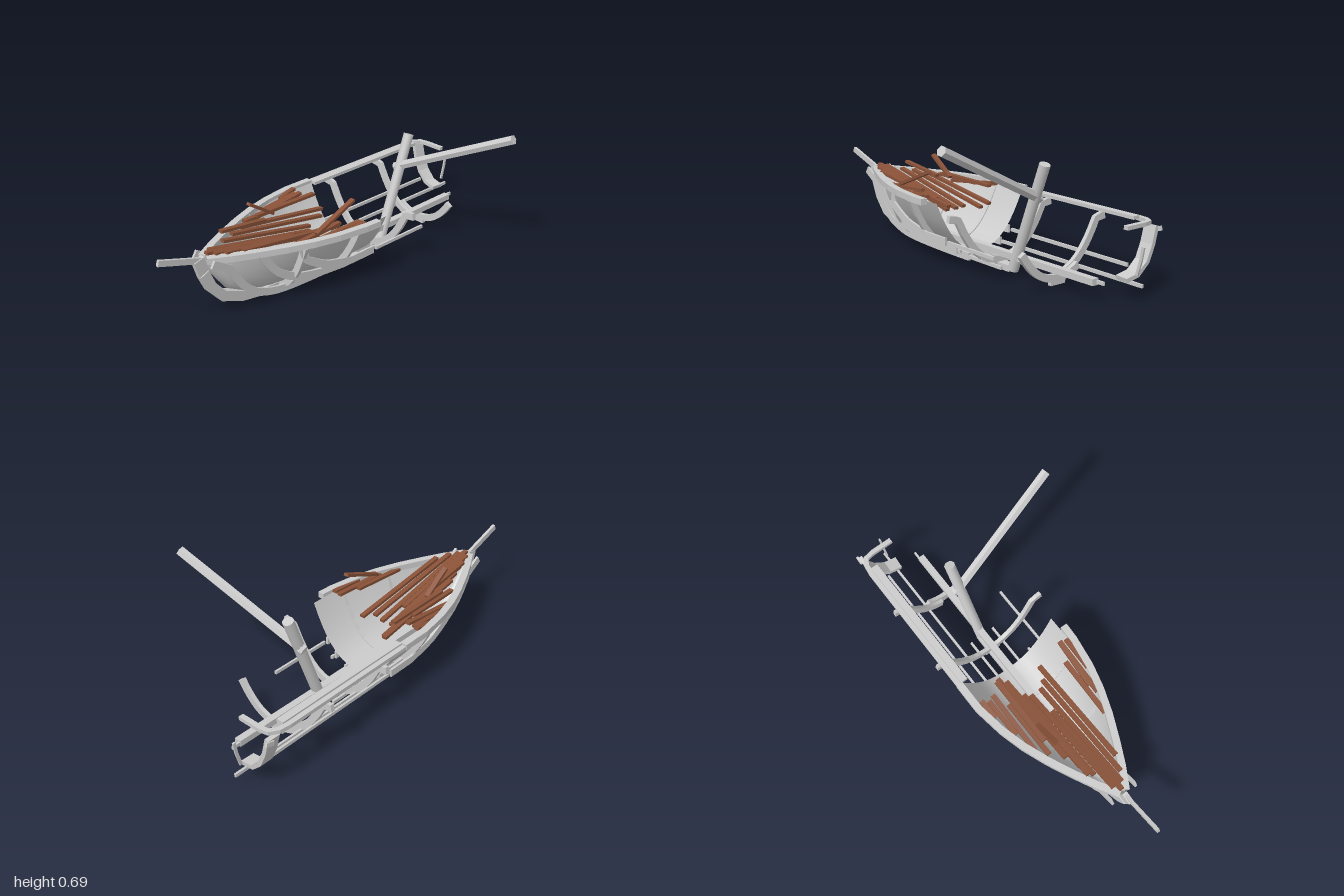
import * as THREE from 'three';

const CX = -0.155; // centreline of the wreck
const grey = new THREE.MeshStandardMaterial({ color: 0xcccccc, flatShading: true, side: THREE.DoubleSide });
const smooth = new THREE.MeshStandardMaterial({ color: 0xcccccc, side: THREE.DoubleSide });
const brown = new THREE.MeshStandardMaterial({ color: 0x8a5238, flatShading: true });
const X = new THREE.Vector3(1, 0, 0), Y = new THREE.Vector3(0, 1, 0), Z = new THREE.Vector3(0, 0, 1);
const V = (x, y, z) => new THREE.Vector3(x, y, z);

// Hull form: half breadth at the rail and bottom height along z
const lerpTable = (t, z) => {
  if (z <= t[0][0]) return t[0][1];
  for (let i = 1; i < t.length; i++) {
    if (z <= t[i][0]) return THREE.MathUtils.mapLinear(z, t[i - 1][0], t[i][0], t[i - 1][1], t[i][1]);
  }
  return t[t.length - 1][1];
};
const breadth = [[-0.1, 0.285], [0.05, 0.285], [0.2, 0.262], [0.32, 0.23], [0.44, 0.185], [0.56, 0.13], [0.66, 0.08], [0.76, 0.022]];
const bottom = [[-0.1, 0.058], [0.4, 0.058], [0.54, 0.07], [0.64, 0.11], [0.71, 0.18], [0.76, 0.27]];
const TOP = 0.315;
const halfW = z => lerpTable(breadth, z) * 0.95 - 0.008; // skin lies just inside the rail
const hullY = (z, u) => {
  const b = lerpTable(bottom, z);
  return b + (TOP - b) * Math.abs(u) ** 2.4;
};

// Rectangular beam swept along points; w is along the fixed side axis, h across it
function beam(name, pts, w, h, side, mat = grey) {
  const pos = [], rings = pts.map((p, i) => {
    const T = pts[Math.min(i + 1, pts.length - 1)].clone().sub(pts[Math.max(i - 1, 0)]).normalize();
    const S = side.clone().addScaledVector(T, -side.dot(T)).normalize();
    const N = T.clone().cross(S);
    return [[1, 1], [-1, 1], [-1, -1], [1, -1]].map(([a, b]) =>
      p.clone().addScaledVector(S, a * w / 2).addScaledVector(N, b * h / 2));
  });
  const quad = (a, b, c, d) => [a, b, c, a, c, d].forEach(v => pos.push(v.x, v.y, v.z));
  for (let i = 0; i < rings.length - 1; i++) {
    const A = rings[i], B = rings[i + 1];
    for (let k = 0; k < 4; k++) quad(A[k], A[(k + 1) % 4], B[(k + 1) % 4], B[k]);
  }
  quad(...rings[0].slice().reverse());
  quad(...rings[rings.length - 1]);
  const g = new THREE.BufferGeometry();
  g.setAttribute('position', new THREE.Float32BufferAttribute(pos, 3));
  g.computeVertexNormals();
  const m = new THREE.Mesh(g, mat);
  m.name = name;
  return m;
}

// Round spar between two points
function spar(name, a, b, r, sides, mat) {
  const m = new THREE.Mesh(new THREE.CylinderGeometry(r, r, a.distanceTo(b), sides), mat);
  m.position.copy(a).add(b).multiplyScalar(0.5);
  m.quaternion.setFromUnitVectors(Y, b.clone().sub(a).normalize());
  m.name = name;
  return m;
}

// Planking of the surviving bow half
function hullSkin() {
  const n = 20, pos = [], idx = [];
  breadth.forEach(([z], i) => {
    for (let k = 0; k <= n; k++) {
      const u = Math.sin((k / n - 0.5) * Math.PI);
      pos.push(CX + u * halfW(z), hullY(z, u), z);
      if (i && k) {
        const a = i * (n + 1) + k, b = a - n - 1;
        idx.push(b - 1, b, a, b - 1, a, a - 1);
      }
    }
  });
  const g = new THREE.BufferGeometry();
  g.setAttribute('position', new THREE.Float32BufferAttribute(pos, 3));
  g.setIndex(idx);
  g.computeVertexNormals();
  const m = new THREE.Mesh(g, smooth);
  m.name = 'hullSkin';
  return m;
}

// Cross frame from u0 to u1, with outward shoulders at the rail and a floor block on the keel
function rib(z, u0, u1, shoulder) {
  const group = new THREE.Group(), pts = [], n = 14, w = halfW(z) + 0.012;
  group.name = 'rib';
  const limit = shoulder ? 0.94 : 1;
  for (let k = 0; k <= n; k++) {
    const u = THREE.MathUtils.lerp(Math.max(u0, -limit), Math.min(u1, limit), k / n);
    pts.push(V(CX + u * w, hullY(z, u) - 0.012, z));
  }
  if (shoulder && u0 <= -1) pts.unshift(V(CX - 0.31, 0.278, z), V(CX - 0.282, 0.274, z));
  if (shoulder && u1 >= 1) pts.push(V(CX + 0.282, 0.274, z), V(CX + 0.31, 0.278, z));
  group.add(beam('frame', pts, 0.02, 0.034, Z));
  if (u1 > 0) group.add(beam('floorBlock', [V(CX - 0.043, 0.032, z), V(CX + 0.043, 0.032, z)], 0.02, 0.034, Z));
  return group;
}

// Lengthwise stringer outside the ribs, rising to the rail at the bow, thin at the broken aft end
function stringer(dx, drop, zEnd) {
  const pts = [];
  for (let z = -0.1; z < 0.76; z += 0.03) {
    const u = Math.abs(dx) / halfW(z);
    if (u > 0.97) break;
    pts.push(V(CX + dx, hullY(z, u) - drop * (1 - u * u * 0.6), z + 0.03 * u * u));
  }
  const last = pts[pts.length - 1];
  pts.push(V(CX + dx, 0.315, last.z + (Math.abs(dx) < 0.1 ? 0.09 : 0.025)));
  const group = new THREE.Group(), y = pts[0].y;
  group.name = 'stringer';
  group.add(beam('stringerBow', pts, 0.012, 0.038, X),
    beam('stringerAft', [V(CX + dx, y, zEnd), V(CX + dx, y, -0.1)], 0.011, 0.016, X));
  return group;
}

export function createModel() {
  const g = new THREE.Group();
  g.name = 'shipwreck';
  g.add(hullSkin());

  // Keel, stem, keelson and bowsprit
  g.add(beam('keel', [V(CX, 0.018, -0.33), V(CX, 0.022, 0.1), V(CX, 0.04, 0.5)], 0.05, 0.03, X));
  g.add(beam('stem', [V(CX, 0.038, 0.46), V(CX, 0.055, 0.57), V(CX, 0.1, 0.68), V(CX, 0.17, 0.74),
    V(CX, 0.25, 0.775)], 0.035, 0.05, X));
  g.add(beam('stemHead', [V(CX, 0.24, 0.77), V(CX, 0.325, 0.795)], 0.025, 0.055, X));
  g.add(beam('keelson', [V(CX, 0.082, -0.85), V(CX, 0.075, -0.1), V(CX, 0.075, 0.45)], 0.034, 0.03, X));
  g.add(beam('keelsonSplinter', [V(CX - 0.01, 0.082, -0.89), V(CX - 0.01, 0.082, -0.85)], 0.01, 0.016, X));
  g.add(beam('bowsprit', [V(CX, 0.315, 0.78), V(CX, 0.385, 0.995)], 0.015, 0.028, X));

  // Rails: one runs on to the stern, the other breaks off amidships
  for (const s of [-1, 1]) {
    const pts = breadth.filter(b => s < 0 || b[0] > 0).map(([z, w]) => V(CX + s * (w - 0.005), 0.315, z));
    if (s > 0) pts.unshift(V(CX + 0.284, 0.315, -0.03));
    g.add(beam(s < 0 ? 'rightRail' : 'leftRail', pts, 0.03, 0.034, Y));
  }
  g.add(beam('aftRail', [V(-0.407, 0.32, -0.1), V(-0.407, 0.32, -0.84)], 0.016, 0.036, Y));
  g.add(beam('sternRail', [V(-0.438, 0.312, -0.1), V(-0.438, 0.312, -0.82), V(-0.432, 0.312, -0.87),
    V(-0.41, 0.312, -0.905), V(-0.37, 0.312, -0.912), V(-0.26, 0.312, -0.912)], 0.018, 0.024, Y));

  // Cross frames, the aft one broken in two
  g.add(rib(0.36, -1, 1, false), rib(0.09, -1, 1, false), rib(-0.245, -1, 1, true),
    rib(-0.595, -1, -0.2, true), rib(-0.62, -0.45, 0.77, false));

  // Stringers
  for (const [dx, drop, z] of [[-0.197, 0.1, -0.85], [-0.135, 0.045, -0.99], [-0.067, 0.04, -0.33],
    [0.067, 0.04, -0.33], [0.135, 0.045, -0.12], [0.197, 0.1, -0.43]])
    g.add(stringer(dx, drop, z));

  // Remains of the stern
  g.add(beam('sternFrame', [V(-0.265, 0.085, -0.895), V(-0.33, 0.1, -0.9), V(-0.38, 0.15, -0.905),
    V(-0.41, 0.22, -0.905), V(-0.43, 0.3, -0.905)], 0.065, 0.02, Z));
  g.add(beam('sternSplinter', [V(-0.29, 0.11, -0.955), V(-0.29, 0.18, -0.975), V(-0.29, 0.24, -0.985)], 0.008, 0.014, X));
  g.add(beam('sternSplinter', [V(-0.44, 0.28, -0.91), V(-0.44, 0.29, -0.95)], 0.012, 0.02, X));

  // Raked mast stump and fallen yard
  g.add(spar('mast', V(CX, 0.012, -0.335), V(CX, 0.535, -0.53), 0.026, 12, smooth));
  g.add(spar('yard', V(-0.185, 0.367, -0.468), V(0.455, 0.668, -0.584), 0.024, 6, grey));

  // Loose deck planks: x, y, z of the aft end, then of the fore end
  const planks = [
    [-0.403, 0.33, 0.03, -0.398, 0.31, 0.13], [-0.375, 0.32, 0.05, -0.37, 0.3, 0.25],
    [-0.345, 0.33, 0.04, -0.345, 0.29, 0.36], [-0.312, 0.32, 0.12, -0.31, 0.32, 0.42],
    [-0.292, 0.33, 0.0, -0.292, 0.335, 0.36], [-0.268, 0.33, 0.28, -0.268, 0.425, 0.42],
    [-0.267, 0.25, -0.03, -0.262, 0.33, 0.48], [-0.24, 0.23, 0.0, -0.235, 0.33, 0.55],
    [-0.24, 0.33, 0.35, -0.235, 0.365, 0.61], [-0.213, 0.22, 0.1, -0.21, 0.33, 0.62],
    [-0.184, 0.21, 0.12, -0.178, 0.335, 0.72], [-0.157, 0.24, 0.25, -0.155, 0.34, 0.75],
    [-0.128, 0.21, 0.12, -0.132, 0.335, 0.72], [-0.1, 0.24, 0.1, -0.105, 0.335, 0.68],
    [-0.072, 0.25, 0.04, -0.075, 0.33, 0.61], [0.04, 0.43, 0.05, 0.04, 0.335, 0.28],
    [0.022, 0.33, 0.12, 0.018, 0.31, 0.42], [0.065, 0.32, 0.03, 0.055, 0.31, 0.32],
    [0.095, 0.325, 0.03, 0.093, 0.315, 0.2],
  ];
  for (const [a, b, c, d, e, f] of planks)
    g.add(beam('deckPlank', [V(a, b, c), V(d, e, f)], 0.024, 0.014, X, brown));
  return g;
}
